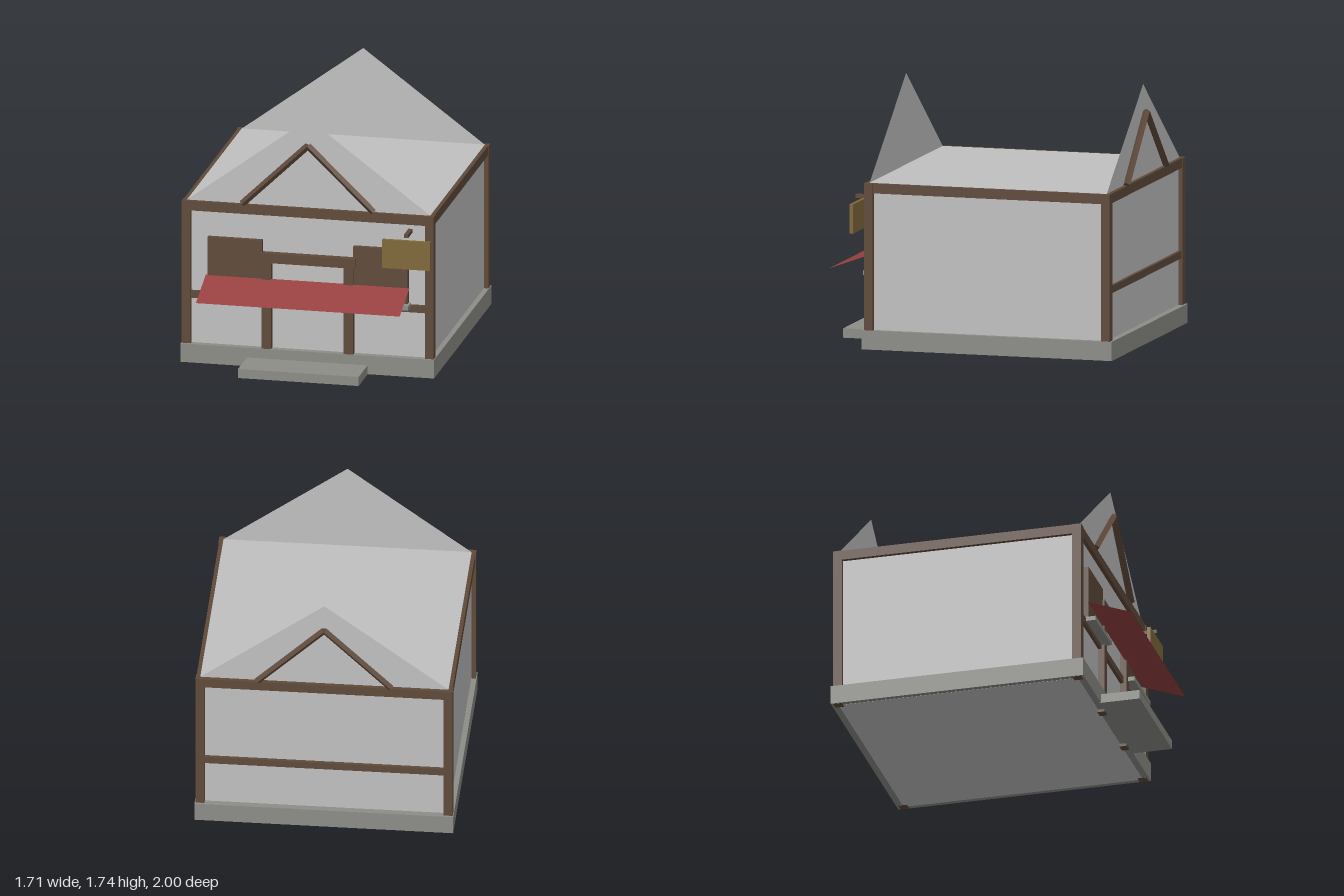
import * as THREE from 'three';

export function createModel() {
  const house = new THREE.Group();
  house.name = 'house';

  const flat = (name, color, extra = {}) => {
    const m = new THREE.MeshStandardMaterial({ color, ...extra });
    m.name = name;
    return m;
  };
  const plaster = flat('plaster', 0xc0c0c0, { side: THREE.DoubleSide });
  const timber = flat('timber', 0x5f4a3a);
  const stone = flat('stone', 0x8c8d87);
  const cloth = flat('awningCloth', 0x964040, { side: THREE.DoubleSide });
  const signWood = flat('signWood', 0x80693a);

  const add = (name, geometry, material) => {
    const mesh = new THREE.Mesh(geometry, material);
    mesh.name = name;
    house.add(mesh);
    return mesh;
  };
  // Box given by its extents on each axis
  const box = (name, material, [x0, x1], [y0, y1], [z0, z1]) =>
    add(name, new THREE.BoxGeometry(x1 - x0, y1 - y0, z1 - z0), material)
      .position.set((x0 + x1) / 2, (y0 + y1) / 2, (z0 + z1) / 2);
  const around = (c, half) => [c - half, c + half];

  const FRONT = 0.675, BACK = -0.955, SIDE = 0.82, EAVE = 1.125;

  // Base, walls and front step
  box('foundation', stone, [-0.855, 0.855], [0.02, 0.147], [-1.0, 0.72]);
  box('walls', plaster, [-SIDE, SIDE], [0.019, EAVE + 0.001], [BACK, FRONT]);
  box('frontStep', stone, [-0.407, 0.407], [0.018, 0.08], [0.7, 0.985]);

  // Timber frame: corner posts, top beams and side beams
  for (const s of [-1, 1]) {
    for (const z of [FRONT, BACK])
      box('cornerPost', timber, around(s * SIDE, 0.03), [0.018, EAVE], around(z, 0.03));
    box('sideTopBeam', timber, around(s * SIDE, 0.026), [1.06, EAVE], [BACK, FRONT]);
  }

  // Gable ends with their beams and braces
  for (const [z, braceZ] of [[FRONT, 0.698], [BACK, -0.978]]) {
    box('topBeam', timber, [-SIDE, SIDE], [1.06, EAVE], around(z, 0.026));
    box('middleBeam', timber, [-SIDE, SIDE], [0.458, 0.507], around(z, 0.022));

    const triangle = new THREE.Shape([
      new THREE.Vector2(-SIDE, EAVE), new THREE.Vector2(SIDE, EAVE), new THREE.Vector2(0, 1.735),
    ]);
    add('gable', new THREE.ShapeGeometry(triangle), plaster).position.z = z;

    for (const s of [-1, 1]) {
      const foot = new THREE.Vector2(s * 0.443, 1.13), top = new THREE.Vector2(0, 1.557);
      const run = top.clone().sub(foot);
      const geo = new THREE.CylinderGeometry(0.023, 0.023, run.length(), 4).toNonIndexed();
      geo.computeVertexNormals();
      const brace = add('gableBrace', geo, timber);
      brace.position.set((foot.x + top.x) / 2, (foot.y + top.y) / 2, braceZ);
      brace.rotation.z = run.angle() - Math.PI / 2;
    }
  }

  // Doorway
  for (const s of [-1, 1])
    box('doorPost', timber, around(s * 0.277, 0.032), [0, 0.77], [0.67, 0.718]);
  box('doorLintel', timber, [-0.323, 0.323], [0.74, 0.805], [0.67, 0.724]);

  // Shuttered windows with stone sills
  for (const s of [-1, 1]) {
    box('shutter', timber, around(s * 0.491, 0.184), [0.51, 0.887], [0.66, 0.709]);
    box('windowSill', stone, around(s * 0.488, 0.203), [0.488, 0.518], [0.66, 0.762]);
  }

  // Sloping awning over the front
  const drop = 0.108, reach = 0.295;
  const awning = add('awning', new THREE.PlaneGeometry(1.374, Math.hypot(drop, reach)), cloth);
  awning.position.set(0, 0.573, 0.853);
  awning.rotation.x = -Math.atan2(reach, drop);

  // Hanging sign and its arm
  box('signArm', timber, around(0.687, 0.014), [1.002, 1.026], [0.66, 0.808]);
  box('sign', signWood, [0.525, 0.848], [0.785, 0.98], [0.782, 0.806]);

  return house;
}
